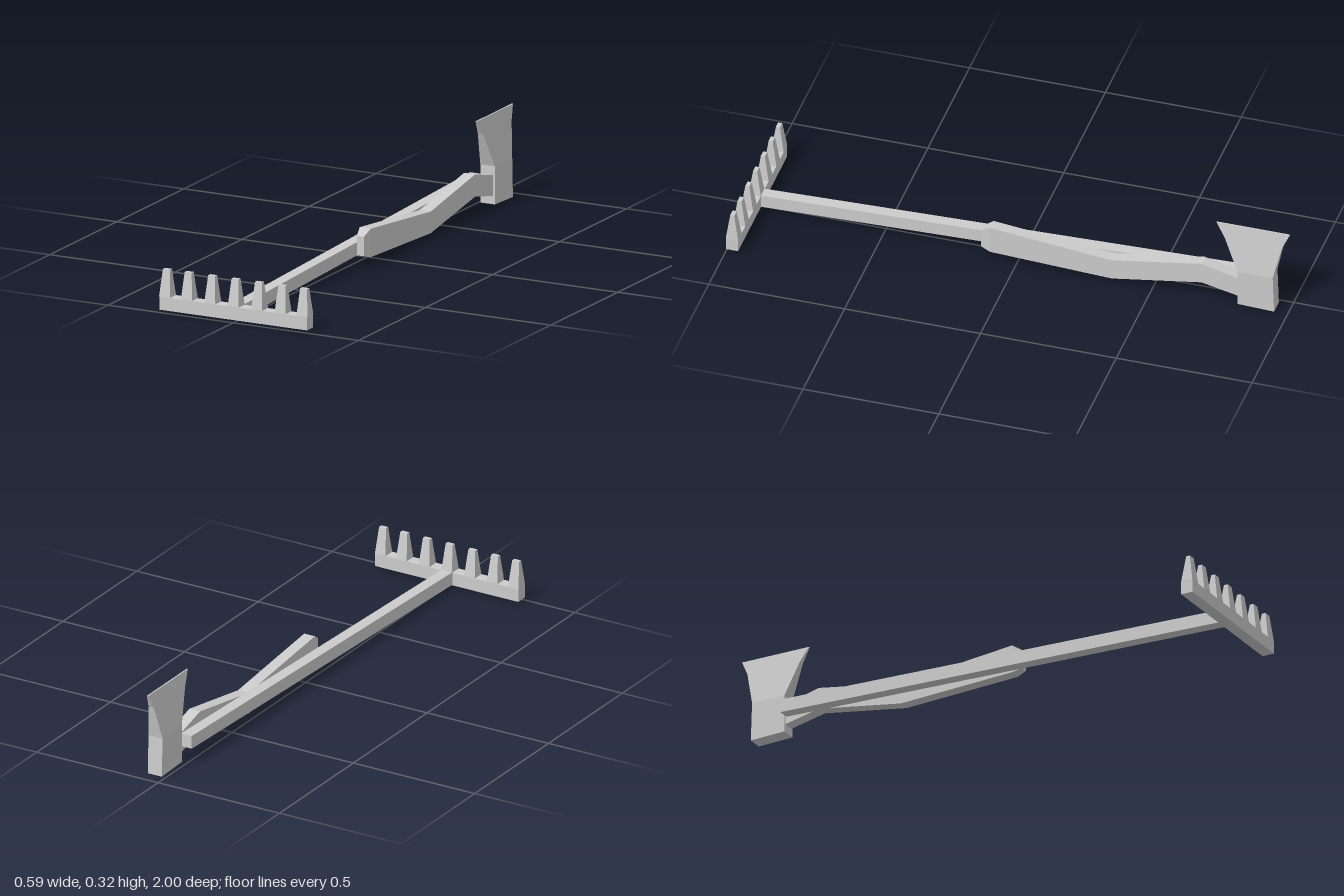
import * as THREE from 'three';

const material = new THREE.MeshStandardMaterial({ color: 0xcccccc, flatShading: true });

// Closed skin through four-cornered rings, with flat end caps, always facing outwards
function loft(name, rings) {
  const tris = [];
  const quad = (a, b, c, d) => tris.push([a, b, c], [a, c, d]);
  for (let i = 0; i < rings.length - 1; i++) {
    for (let j = 0; j < 4; j++) {
      const k = (j + 1) % 4;
      quad(rings[i][j], rings[i][k], rings[i + 1][k], rings[i + 1][j]);
    }
  }
  const last = rings[rings.length - 1];
  quad(rings[0][3], rings[0][2], rings[0][1], rings[0][0]);
  quad(last[0], last[1], last[2], last[3]);

  // Signed volume about a point of the part tells whether the winding must be reversed
  const origin = rings[0][0];
  const volume = tris.reduce((sum, t) => {
    const [a, b, c] = t.map(p => new THREE.Vector3(p[0] - origin[0], p[1] - origin[1], p[2] - origin[2]));
    return sum + a.dot(b.cross(c));
  }, 0);
  if (volume < 0) tris.forEach(t => t.reverse());

  const geometry = new THREE.BufferGeometry();
  geometry.setAttribute('position', new THREE.Float32BufferAttribute(tris.flat(2), 3));
  geometry.computeVertexNormals();
  const mesh = new THREE.Mesh(geometry, material);
  mesh.name = name;
  return mesh;
}

// Upright ring at one z, for handles
const ringZ = (z, x0, x1, y0, y1) => [[x0, y0, z], [x1, y0, z], [x1, y1, z], [x0, y1, z]];
// Level ring at one y, for teeth and the axe head
const ringY = (y, x0, x1, z0, z1) => [[x0, y, z0], [x1, y, z0], [x1, y, z1], [x0, y, z1]];

function createRake() {
  const rake = new THREE.Group();
  rake.name = 'rake';

  rake.add(loft('rakeBar', [
    ringY(0.01, -0.295, 0.295, 0.955, 1),
    ringY(0.058, -0.295, 0.295, 0.955, 1),
  ]));

  // Seven tapering teeth; the outer ones end flush with the bar
  for (let i = -3; i <= 3; i++) {
    const x = Math.abs(i) === 3 ? Math.sign(i) * 0.274 : i * 0.0935;
    rake.add(loft('rakeTooth', [
      ringY(0.058, x - 0.022, x + 0.022, 0.955, 1),
      ringY(0.157, x - 0.014, x + 0.014, 0.971, 0.986),
    ]));
  }

  // Straight handle rising slightly towards the rear
  rake.add(loft('rakeHandle', [
    ringZ(0.956, -0.023, 0.021, 0.012, 0.06),
    ringZ(-0.81, -0.023, 0.021, 0.063, 0.112),
  ]));
  return rake;
}

function createAxe() {
  const axe = new THREE.Group();
  axe.name = 'axe';

  // Bent handle: z, half width, bottom, top
  const stations = [
    [0.133, 0.014, 0.042, 0.113],
    [0.098, 0.022, 0.031, 0.135],
    [-0.35, 0.022, 0.011, 0.09],
    [-0.68, 0.022, 0.065, 0.146],
    [-0.84, 0.022, 0.03, 0.105],
  ];
  const cx = 0.044;
  axe.add(loft('axeHandle', stations.map(([z, w, y0, y1]) => ringZ(z, cx - w, cx + w, y0, y1))));

  // Head: square poll flaring into a wide, thin blade
  const level = (y, w, z0, z1) => ringY(y, cx - w, cx + w, z0, z1);
  const base = level(0, 0.029, -0.95, -0.815);
  base[2][1] = base[3][1] = 0.005;
  axe.add(loft('axeHead', [
    base,
    level(0.145, 0.029, -0.945, -0.815),
    level(0.27, 0.011, -0.974, -0.763),
  ]));
  axe.add(loft('cuttingEdge', [
    level(0.27, 0.011, -0.974, -0.763),
    level(0.325, 0.0025, -1, -0.73),
  ]));
  return axe;
}

export function createModel() {
  const model = new THREE.Group();
  model.name = 'gardenTools';
  model.add(createRake(), createAxe());
  return model;
}
